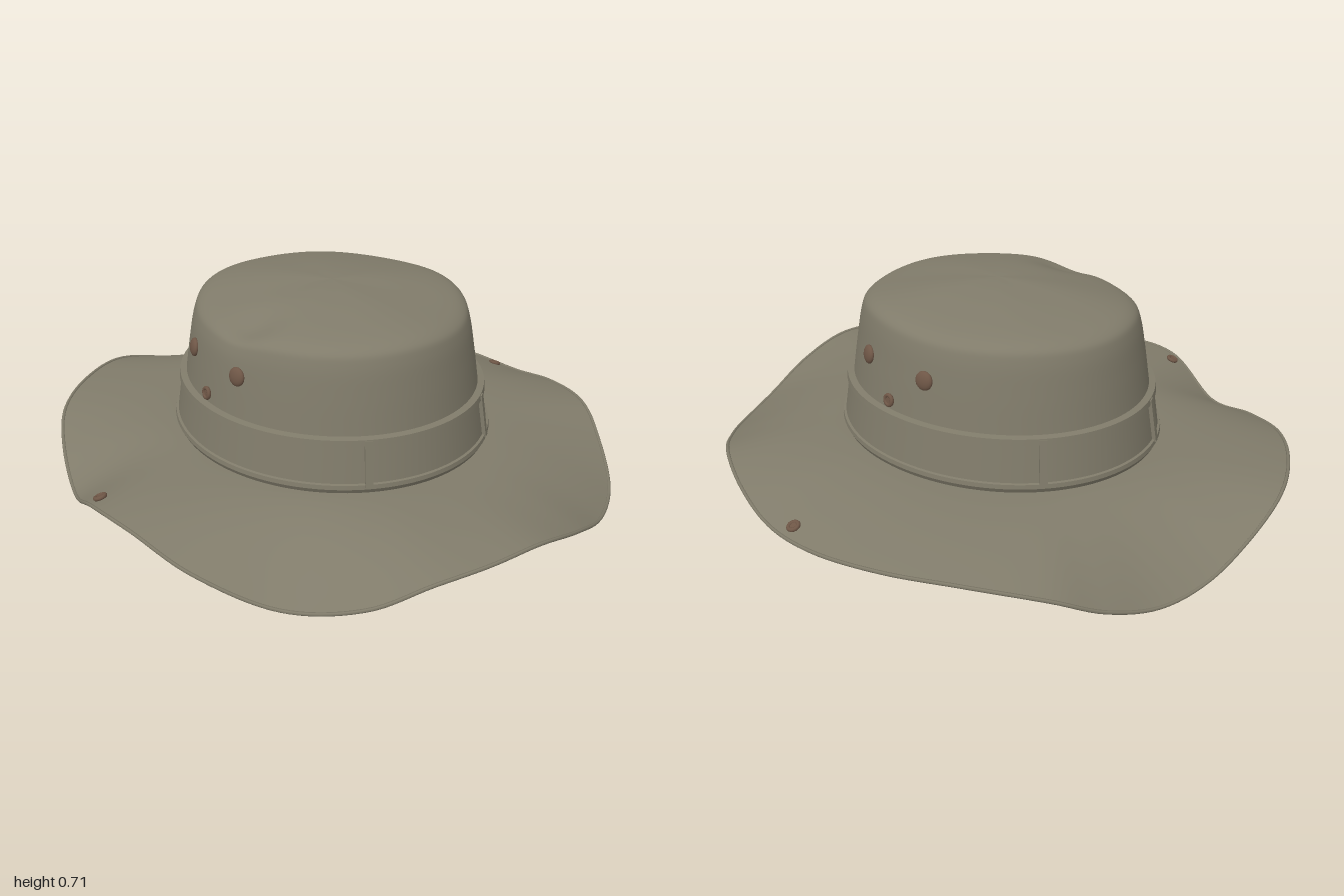
import * as THREE from 'three';
import { toCreasedNormals } from 'three/addons/utils/BufferGeometryUtils.js';

const SEG = 128;
const BASE = 0.205;
const { sin, cos, PI } = Math;
const V = (x, y, z) => new THREE.Vector3(x, y, z);

// Closed skin through rows of points; at(u, row) gives each point, u runs 0..1 around
function skin(rows, at) {
  const pos = [], index = [];
  for (let j = 0; j < rows; j++)
    for (let i = 0; i < SEG; i++) pos.push(...at(i / SEG, j).toArray());
  for (let j = 0; j < rows - 1; j++)
    for (let i = 0; i < SEG; i++) {
      const a = j * SEG + i, b = j * SEG + (i + 1) % SEG, c = a + SEG, d = b + SEG;
      index.push(a, c, b, b, c, d);
    }
  const g = new THREE.BufferGeometry();
  g.setAttribute('position', new THREE.Float32BufferAttribute(pos, 3));
  g.setIndex(index);
  g.computeVertexNormals();
  return g;
}

// Egg-shaped head ring, scaled by s and pushed out by off
function ring(a, s, y, off = 0) {
  const depth = sin(a) > 0 ? 0.545 : 0.575;
  return V(cos(a) * (0.505 * s + off), y, sin(a) * (depth * s + off));
}
const wall = (a, y, off = 0) => ring(a, 1 - (y - BASE) * 0.29, y, off);

// Wavy outer edge of the brim, from the left side round by the front
const edge = new THREE.CatmullRomCurve3([
  [0.92, 0.115, 0], [0.9, 0.15, 0.2], [0.83, 0.167, 0.42], [0.72, 0.12, 0.6],
  [0.58, 0.068, 0.77], [0.4, 0.075, 0.89], [0.2, 0.14, 0.965], [0, 0.19, 0.993],
  [-0.18, 0.185, 0.98], [-0.35, 0.16, 0.93], [-0.5, 0.09, 0.835], [-0.66, 0.042, 0.64],
  [-0.82, 0.11, 0.42], [-0.895, 0.17, 0.2], [-0.92, 0.165, 0], [-0.87, 0.07, -0.25],
  [-0.8, 0.12, -0.48], [-0.7, 0.16, -0.68], [-0.55, 0.175, -0.83], [-0.35, 0.165, -0.95],
  [-0.14, 0.1, -0.993], [0.03, 0.03, -0.988], [0.2, 0.007, -0.962], [0.38, 0.05, -0.915],
  [0.52, 0.11, -0.84], [0.69, 0.14, -0.66], [0.82, 0.135, -0.45], [0.9, 0.115, -0.2],
].map(p => V(...p)), true);

function brimAt(u, t) {
  const e = edge.getPoint(u);
  const p = ring(Math.atan2(e.z, e.x), 1.01, BASE).lerp(e, t);
  p.y = BASE + (e.y - BASE) * t ** 1.8;
  return p;
}

export function createModel() {
  const hat = new THREE.Group();
  const cloth = new THREE.MeshStandardMaterial({ color: 0x807b6a, side: THREE.DoubleSide });
  cloth.name = 'olive cloth';
  const metal = new THREE.MeshStandardMaterial({ color: 0x6e5646 });
  metal.name = 'brown metal';

  const add = (name, geo, mat, parent = hat) => {
    const m = new THREE.Mesh(geo, mat);
    m.name = name;
    parent.add(m);
    return m;
  };

  // Brim with a rolled hem
  add('brim', skin(19, (u, j) => brimAt(u, 1 - j / 18)), cloth);
  add('brimHem', new THREE.TubeGeometry(edge, 200, 0.006, 6, true), cloth);

  // Crown: sloping wall, rounded shoulder, softly dented top
  const profile = new THREE.SplineCurve([
    [1, BASE], [0.95, 0.38], [0.915, 0.5], [0.88, 0.595], [0.835, 0.638],
    [0.7, 0.664], [0.42, 0.69], [0.18, 0.703], [0, 0.706],
  ].map(p => new THREE.Vector2(...p)));
  const crownRows = 44;
  add('crown', skin(crownRows, (u, j) => {
    const a = u * 2 * PI, q = profile.getPoint(j / (crownRows - 1));
    const p = ring(a, Math.max(q.x, 0.0005), q.y);
    const top = THREE.MathUtils.smoothstep(q.y, 0.52, 0.65);
    p.y += top * q.x * (0.01 * cos(a) + 0.007 * sin(3 * a + 1) + 0.004 * sin(5 * a));
    p.y -= 0.025 * Math.exp(-((p.x + 0.36) ** 2 + (p.z - 0.06) ** 2) / 0.008) * top;
    return p;
  }), cloth);

  // Hat band with raised seams at top and bottom
  const bandRows = [[0.207, 0.012], [0.222, 0.022], [0.236, 0.022], [0.238, 0.014],
    [0.358, 0.014], [0.36, 0.022], [0.38, 0.022], [0.383, 0]];
  add('hatBand', toCreasedNormals(
    skin(bandRows.length, (u, j) => wall(u * 2 * PI, ...bandRows[j])), 0.5), cloth);

  // Stand an object on a surface point, its z axis along the normal
  const stand = (obj, p, n) => {
    obj.position.copy(p);
    obj.quaternion.setFromRotationMatrix(new THREE.Matrix4().lookAt(n, V(0, 0, 0), V(0, 1, 0)));
  };
  const onWall = (obj, a, y, off) => {
    const up = wall(a, y + 0.01).sub(wall(a, y - 0.01));
    const round = wall(a + 0.01, y).sub(wall(a - 0.01, y));
    stand(obj, wall(a, y, off), up.cross(round).normalize());
  };

  // Four loops holding the band
  for (const [x, z] of [[0.27, 0.465], [-0.22, 0.49], [0.25, -0.5], [-0.22, -0.51]])
    onWall(add('bandLoop', new THREE.BoxGeometry(0.024, 0.15, 0.016), cloth),
      Math.atan2(z / 0.56, x / 0.505), 0.302, 0.018);

  // Small eyelet: a ring around a sunken disc
  const eyelet = name => {
    const g = new THREE.Group();
    g.name = name;
    hat.add(g);
    add('eyeletRing', new THREE.TorusGeometry(0.016, 0.007, 8, 20), metal, g);
    const disc = add('eyeletDisc', new THREE.CylinderGeometry(0.015, 0.015, 0.006, 16), metal, g);
    disc.rotation.x = PI / 2;
    return g;
  };

  // Vent studs and eyelets on both sides of the crown, one eyelet on each side of the brim
  for (const side of [1, -1]) {
    const angle = z => side > 0 ? Math.asin(z / 0.5) : PI - Math.asin(z / 0.5);
    for (const z of [0.11, -0.16]) {
      const stud = add('ventStud', new THREE.SphereGeometry(0.031, 20, 12), metal);
      stud.scale.z = 0.45;
      onWall(stud, angle(z), 0.515, 0.003);
    }
    onWall(eyelet('cordEyelet'), angle(-0.03), 0.412, 0.006);

    const u = side > 0 ? 0.985 : 0.505, t = 0.9;
    const out = brimAt(u, t + 0.02).sub(brimAt(u, t - 0.02));
    const round = brimAt(u + 0.004, t).sub(brimAt(u - 0.004, t));
    const n = round.cross(out).normalize();
    stand(eyelet('brimEyelet'), brimAt(u, t).addScaledVector(n, 0.004), n);
  }
  return hat;
}
